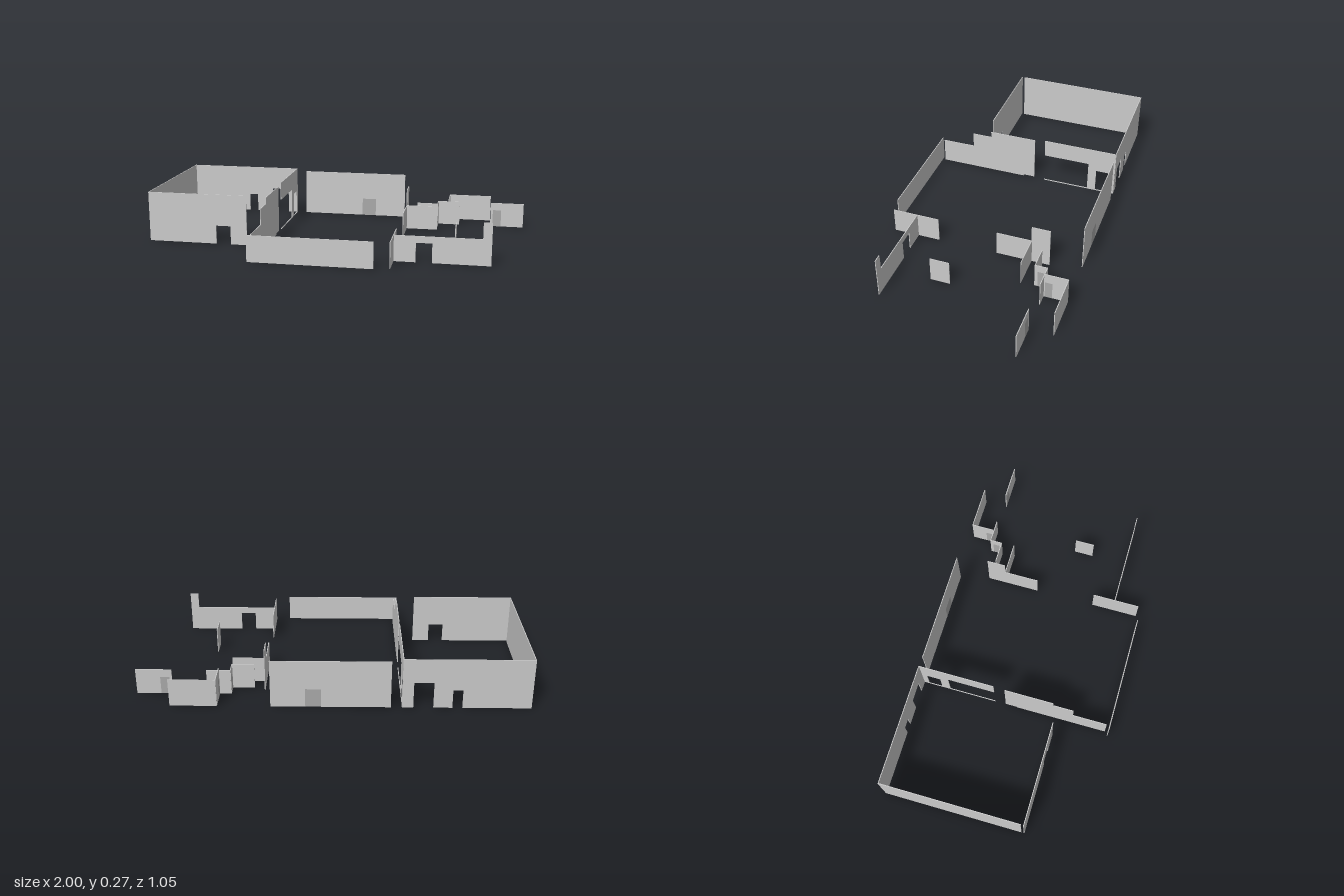
import * as THREE from 'three';

const THICK = 0.004;
const wallMat = new THREE.MeshStandardMaterial({ color: 0xcccccc, side: THREE.DoubleSide });
const doorMat = new THREE.MeshStandardMaterial({ color: 0xaaaaaa, side: THREE.DoubleSide });

// Upright sheet: runs from a to b along the ground, doorways [from, to, height] cut into its foot,
// and a top edge that is a plain height or a list of points going from b back to a.
function sheet(a, b, top, doors = []) {
  const points = [[a, 0]];
  for (const [d0, d1, h] of doors) points.push([d0, 0], [d0, h], [d1, h], [d1, 0]);
  points.push([b, 0]);
  points.push(...(Array.isArray(top) ? top : [[b, top], [a, top]]));
  const shape = new THREE.Shape(points.map(([u, v]) => new THREE.Vector2(u, v)));
  const geo = new THREE.ExtrudeGeometry(shape, { depth: THICK, bevelEnabled: false });
  return geo.translate(0, 0, -THICK / 2);
}

export function createModel() {
  const group = new THREE.Group();

  function add(name, geo, mat, alongZ, at) {
    const mesh = new THREE.Mesh(geo, mat);
    mesh.name = name;
    if (alongZ) {
      mesh.rotation.y = -Math.PI / 2;
      mesh.position.x = at;
    } else mesh.position.z = at;
    group.add(mesh);
  }
  // Wall running along x at depth z
  const wallX = (name, z, a, b, top, doors) => add(name, sheet(a, b, top, doors), wallMat, false, z);
  // Wall running along z at position x
  const wallZ = (name, x, a, b, top, doors) => add(name, sheet(a, b, top, doors), wallMat, true, x);
  // Closed doors fill the doorway of their wall
  const doorX = (name, z, [a, b, h]) => add(name, sheet(a, b, h), doorMat, false, z);
  const doorZ = (name, x, [a, b, h]) => add(name, sheet(a, b, h), doorMat, true, x);

  // Large room
  wallZ('hallOuterWall', -0.998, -0.525, 0.22, 0.27);
  wallX('hallBackWall', -0.525, -1, -0.355, 0.27, [[-0.655, -0.605, 0.1], [-0.51, -0.41, 0.14]]);
  wallX('hallFrontWall', 0.235, -1, -0.455, 0.27, [[-0.625, -0.545, 0.1]]);
  wallZ('hallInnerWall', -0.355, -0.525, -0.373,
    [[-0.373, 0.172], [-0.115, 0.172], [-0.115, 0.27], [-0.525, 0.27]], [[-0.495, -0.42, 0.135]]);
  wallZ('hallSill', -0.355, -0.525, -0.115, 0.004);

  // Courtyard walls
  wallZ('steppedWall', -0.355, 0.01, 0.505, [
    [0.505, 0.14], [0.32, 0.14], [0.32, 0.225], [0.21, 0.225],
    [0.21, 0.26], [-0.055, 0.26], [-0.055, 0.008], [0.01, 0.008],
  ]);
  wallX('courtFrontWall', 0.523, -0.375, 0.268, 0.14);
  const backDoor = [0.05, 0.13, 0.1];
  wallX('courtBackWall', -0.525, -0.298, 0.305, 0.256, [backDoor]);
  doorX('courtBackDoor', -0.525, backDoor);

  // Front wing
  wallZ('frontWingSideWall', 0.347, 0.252, 0.508, 0.137);
  wallX('frontWingWall', 0.373, 0.347, 0.835,
    [[0.835, 0.222], [0.79, 0.222], [0.79, 0.137], [0.347, 0.137]], [[0.46, 0.542, 0.102]]);
  wallZ('shortPartition', 0.645, 0.07, 0.175, 0.137);

  // Back wing
  wallZ('backWingSideWall', 0.345, -0.362, -0.073,
    [[-0.073, 0.135], [-0.262, 0.135], [-0.262, 0.224], [-0.362, 0.224]]);
  wallX('backWingPartition', -0.263, 0.345, 0.52, 0.135);
  wallX('recessWall', -0.335, 0.4, 0.515, 0.135);
  const recessDoor = [-0.385, -0.35, 0.095];
  wallZ('recessSideWall', 0.515, -0.4, -0.335, 0.135, [recessDoor]);
  doorZ('recessDoor', 0.515, recessDoor);
  wallX('alcoveFrontWall', -0.4, 0.515, 0.638, 0.135);
  const alcoveDoor = [-0.445, -0.407, 0.095];
  wallZ('alcoveSideWall', 0.575, -0.525, -0.4, 0.147, [alcoveDoor]);
  doorZ('alcoveDoor', 0.575, alcoveDoor);
  wallX('alcoveBackWall', -0.525, 0.575, 0.812, 0.147);
  const endDoor = [0.828, 0.875, 0.095];
  wallX('endWall', -0.4, 0.815, 1, 0.137, [endDoor]);
  doorX('endDoor', -0.4, endDoor);

  return group;
}
